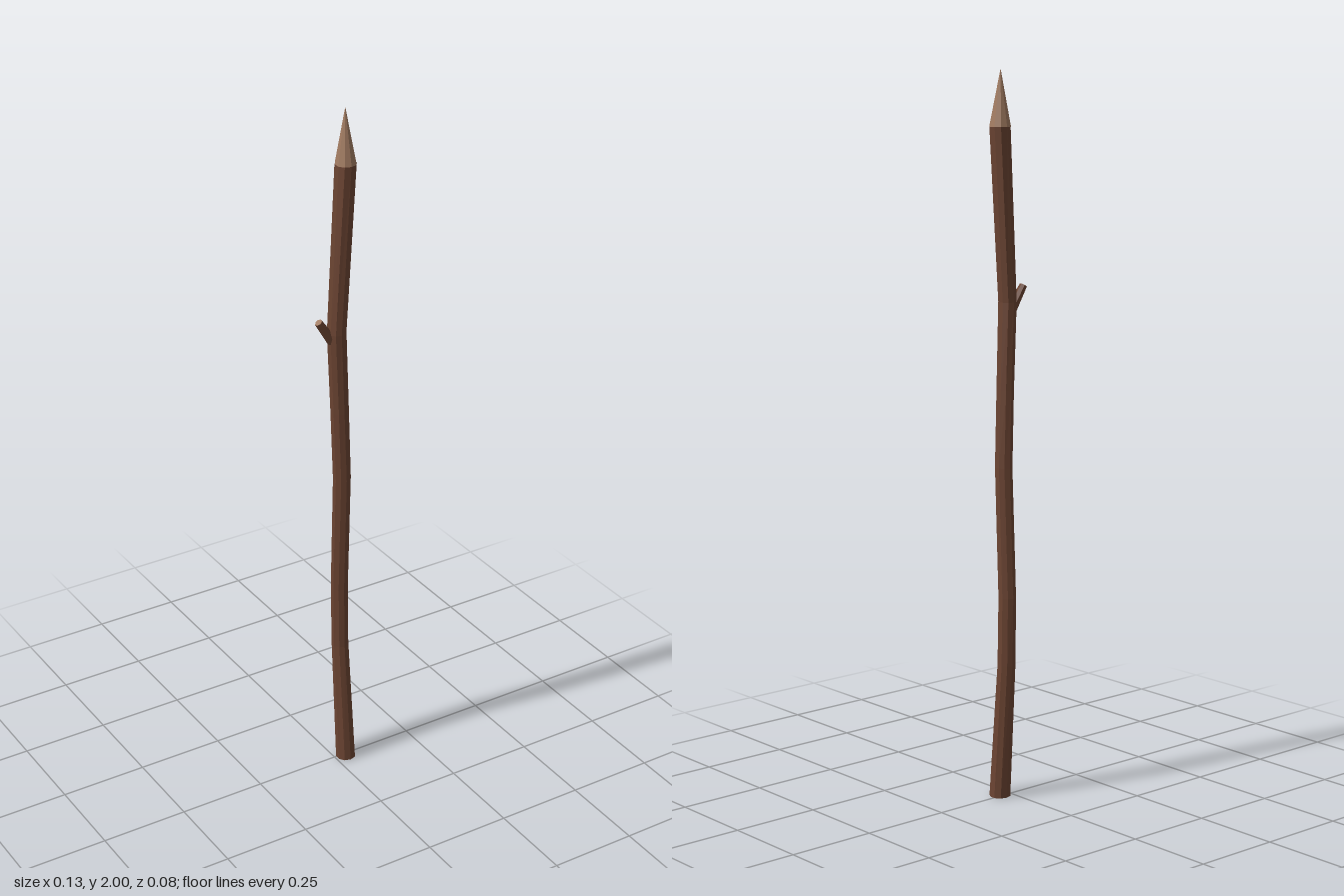
import * as THREE from 'three';

const SIDES = 10;

const material = (color) => new THREE.MeshStandardMaterial({ color, flatShading: true, roughness: 0.9 });

// Lofts level rings [x, y, z, radius] into a closed faceted limb.
function loft(rings, sides, wobble = 0) {
  const pos = [], index = [];
  rings.forEach(([x, y, z, r], j) => {
    for (let i = 0; i < sides; i++) {
      const a = (i / sides) * Math.PI * 2;
      const rr = r * (1 + wobble * Math.sin(i * 2.4 + j * 0.7));
      pos.push(x + Math.sin(a) * rr, y, z + Math.cos(a) * rr);
    }
  });
  for (let j = 0; j < rings.length - 1; j++) {
    for (let i = 0; i < sides; i++) {
      const a = j * sides + i, b = j * sides + (i + 1) % sides;
      index.push(a, b, b + sides, a, b + sides, a + sides);
    }
  }
  // End caps
  const last = (rings.length - 1) * sides;
  for (let i = 1; i < sides - 1; i++) {
    index.push(0, i + 1, i, last, last + i, last + i + 1);
  }
  const geo = new THREE.BufferGeometry();
  geo.setAttribute('position', new THREE.Float32BufferAttribute(pos, 3));
  geo.setIndex(index);
  const flat = geo.toNonIndexed();
  flat.computeVertexNormals();
  return flat;
}

// Tapered cylinder running from one point to another.
function rod(from, to, r0, r1, sides) {
  const dir = to.clone().sub(from);
  const geo = new THREE.CylinderGeometry(r1, r0, dir.length(), sides);
  geo.applyQuaternion(new THREE.Quaternion().setFromUnitVectors(new THREE.Vector3(0, 1, 0), dir.normalize()));
  geo.translate((from.x + to.x) / 2, (from.y + to.y) / 2, (from.z + to.z) / 2);
  return geo;
}

export function createModel() {
  const group = new THREE.Group();
  group.name = 'sharpenedStick';
  const bark = material(0x6b4432);
  const wood = material(0xa07a60);

  const add = (name, geometry, mat) => {
    const mesh = new THREE.Mesh(geometry, mat);
    mesh.name = name;
    group.add(mesh);
  };

  // Crooked shaft, from the ground up
  const shaft = [
    [0.034, 0, 0.006, 0.029],
    [0.027, 0.38, -0.014, 0.025],
    [0.025, 0.57, -0.015, 0.025],
    [0.021, 0.93, 0.004, 0.025],
    [0.010, 1.14, 0.010, 0.025],
    [-0.002, 1.38, 0.014, 0.026],
    [0.026, 1.85, 0.012, 0.029],
  ];
  add('shaft', loft(shaft, SIDES, 0.03), bark);

  // Whittled point
  const tip = [[0.026, 1.85, 0.012, 0.029], [0.025, 2, 0.011, 0.0006]];
  add('sharpenedTip', loft(tip, SIDES, 0.03), wood);

  // Snapped-off twig with a pale cut end
  const start = new THREE.Vector3(-0.006, 1.345, 0.012);
  const end = new THREE.Vector3(-0.056, 1.42, 0.011);
  add('twig', rod(start, end, 0.016, 0.011, 7), bark);
  const cutEnd = end.clone().add(end.clone().sub(start).normalize().multiplyScalar(0.001));
  add('twigCutEnd', rod(end, cutEnd, 0.0105, 0.0105, 7), wood);

  return group;
}
